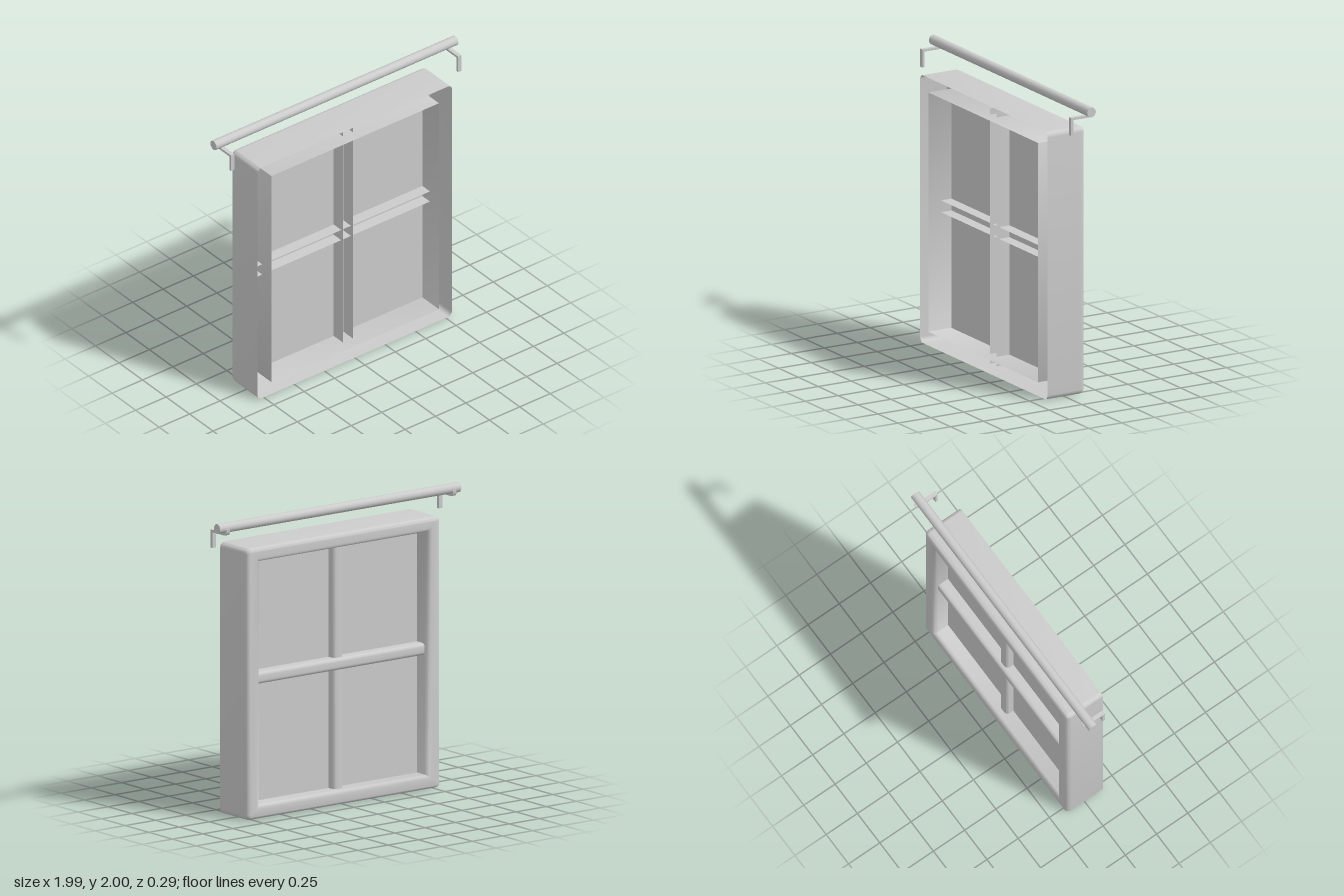
import * as THREE from 'three';
import { toCreasedNormals } from 'three/addons/utils/BufferGeometryUtils.js';

const grey = new THREE.MeshStandardMaterial({ color: 0xcccccc });
const sheet = new THREE.MeshStandardMaterial({ color: 0xcccccc, side: THREE.DoubleSide });

// Skin over a list of equally long cross-sections
function loft(rows) {
  const pos = [];
  for (let i = 0; i < rows.length - 1; i++) {
    for (let j = 0; j < rows[0].length - 1; j++) {
      const a = rows[i][j], b = rows[i][j + 1], c = rows[i + 1][j + 1], d = rows[i + 1][j];
      for (const p of [a, d, c, a, c, b]) pos.push(...p);
    }
  }
  const geo = new THREE.BufferGeometry();
  geo.setAttribute('position', new THREE.Float32BufferAttribute(pos, 3));
  return toCreasedNormals(geo, 0.7);
}

// U-shaped section [u, z], open to the front, with rounded back corners
function channel(width, front, back, r) {
  const pts = [[0, front]];
  for (const [cu, start] of [[r, Math.PI], [width - r, Math.PI * 1.5]]) {
    for (let k = 0; k <= 6; k++) {
      const t = start + (k / 6) * Math.PI / 2;
      pts.push([cu + r * Math.cos(t), back + r + r * Math.sin(t)]);
    }
  }
  pts.push([width, front]);
  return pts;
}

// Closed rounded rectangle at a given inset from the outer frame
function ring(inset, z) {
  const r = Math.max(0.035 - inset, 0.002);
  const hx = 0.8 - inset - r, hy = 0.907 - inset * 0.87 - r;
  const pts = [];
  for (let q = 0; q < 4; q++) {
    const sx = q === 0 || q === 3 ? 1 : -1, sy = q < 2 ? 1 : -1;
    for (let k = 0; k <= 6; k++) {
      const t = (q + k / 6) * Math.PI / 2;
      pts.push([sx * hx + r * Math.cos(t), 0.907 + sy * hy + r * Math.sin(t), z]);
    }
  }
  pts.push(pts[0]);
  return pts;
}

export function createModel() {
  const model = new THREE.Group();
  const add = (name, geo, mat = grey, parent = model) => {
    const mesh = new THREE.Mesh(geo, mat);
    mesh.name = name;
    parent.add(mesh);
    return mesh;
  };

  // Hollow frame, open at the front; inner lip stands slightly proud
  const section = channel(0.11, 0.142, -0.145, 0.033);
  section[section.length - 1][1] = 0.147;
  add('windowFrame', loft(section.map(([d, z]) => ring(d, z))), sheet);

  // Glass
  add('glassPane', new THREE.PlaneGeometry(1.5, 1.68), sheet).position.set(0, 0.91, -0.03);

  // Crossing glazing bars, hollow channels
  const bar = (name, from, to, front, back) => {
    const profile = channel(0.08, front, back, 0.025);
    return add(name, loft([from, to].map(y => profile.map(([u, z]) => [u - 0.04, y, z]))), sheet);
  };
  bar('verticalBar', 0.03, 1.76, 0.07, -0.085);
  const across = bar('horizontalBar', -0.755, 0.755, 0.05, -0.112);
  across.rotation.z = -Math.PI / 2;
  across.position.y = 0.932;

  // Curtain rod
  const rod = add('curtainRod', new THREE.CylinderGeometry(0.033, 0.033, 1.99, 20));
  rod.rotation.z = Math.PI / 2;
  rod.position.set(0, 1.967, -0.075);

  // Bent brackets: post, arm and upturned hook, drawn in (-z, y)
  const s = new THREE.Shape();
  s.moveTo(-0.052, 1.815);
  s.lineTo(-0.052, 1.936);
  s.lineTo(0.09, 1.936);
  s.quadraticCurveTo(0.104, 1.937, 0.105, 1.962);
  s.lineTo(0.118, 1.962);
  s.quadraticCurveTo(0.118, 1.922, 0.092, 1.92);
  s.lineTo(-0.034, 1.92);
  s.lineTo(-0.034, 1.815);
  const bracketGeo = new THREE.ExtrudeGeometry(s, { depth: 0.028, bevelEnabled: false, curveSegments: 5 });
  bracketGeo.translate(0, 0, -0.014).rotateY(Math.PI / 2);
  for (const [name, x] of [['leftBracket', 0.935], ['rightBracket', -0.935]]) {
    add(name, bracketGeo).position.x = x;
  }
  return model;
}
